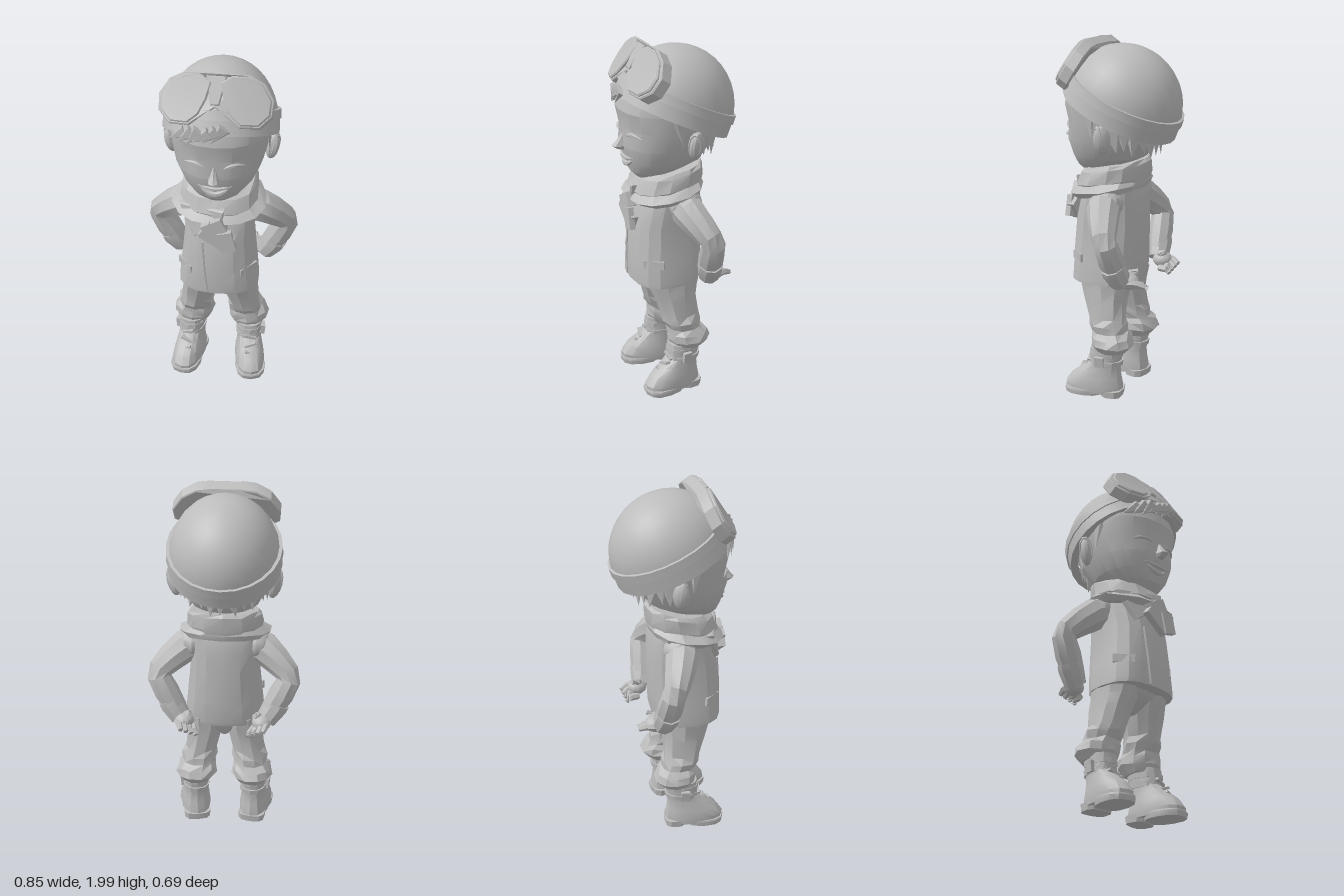
import * as THREE from 'three';
import { toCreasedNormals } from 'three/addons/utils/BufferGeometryUtils.js';

const V = (x, y, z) => new THREE.Vector3(x, y, z);

// Skin a list of equal-length rings and close both ends
function skin(rings) {
  const n = rings[0].length, pos = [], idx = [];
  for (const r of rings) for (const p of r) pos.push(p.x, p.y, p.z);
  for (let i = 0; i < rings.length - 1; i++) {
    for (let j = 0; j < n; j++) {
      const a = i * n + j, b = i * n + (j + 1) % n;
      idx.push(a, b, b + n, a, b + n, a + n);
    }
  }
  [0, rings.length - 1].forEach((k, end) => {
    const c = V(0, 0, 0);
    rings[k].forEach(p => c.addScaledVector(p, 1 / n));
    const ci = pos.length / 3;
    pos.push(c.x, c.y, c.z);
    for (let j = 0; j < n; j++) {
      const a = k * n + j, b = k * n + (j + 1) % n;
      if (end) idx.push(ci, a, b); else idx.push(ci, b, a);
    }
  });
  const g = new THREE.BufferGeometry();
  g.setAttribute('position', new THREE.Float32BufferAttribute(pos, 3));
  g.setIndex(idx);
  return g;
}

// Stack of level superellipses, bottom to top: [y, halfWidth, zBack, zFront, centreX]
function loft(sections, n = 16, power = 2.2, fold = 0) {
  const f = t => Math.sign(t) * Math.abs(t) ** (2 / power);
  return skin(sections.map(([y, rx, zb, zf, cx = 0], i) => Array.from({ length: n }, (_, j) => {
    const a = j / n * Math.PI * 2, w = fold * Math.sin(j * 2.3 + i * 1.9);
    return V(cx + (rx + w) * f(Math.sin(a)), y + w, (zb + zf) / 2 + ((zf - zb) / 2 + w) * f(Math.cos(a)));
  })));
}

// Round tube of changing radius: points [x, y, z, radius]
function sweep(pts, n = 8) {
  const p = pts.map(q => V(q[0], q[1], q[2]));
  return skin(p.map((c, i) => {
    const t = p[Math.min(i + 1, p.length - 1)].clone().sub(p[Math.max(i - 1, 0)]).normalize();
    const ref = Math.abs(t.z) > 0.85 ? V(0, 1, 0) : V(0, 0, 1);
    const u = ref.cross(t).normalize(), v = t.clone().cross(u);
    return Array.from({ length: n }, (_, j) => {
      const a = j / n * Math.PI * 2;
      return c.clone().addScaledVector(u, pts[i][3] * Math.cos(a)).addScaledVector(v, pts[i][3] * Math.sin(a));
    });
  }));
}

const ball = (x, y, z, rx, ry, rz) => new THREE.SphereGeometry(1, 12, 8).scale(rx, ry, rz).translate(x, y, z);
const box = (x, y, z, w, h, d, rz = 0) => new THREE.BoxGeometry(w, h, d).rotateZ(rz).translate(x, y, z);

// Flat plate cut from an outline and pushed out along z
const plate = (points, depth, bevel) => new THREE.ExtrudeGeometry(
  new THREE.Shape(points.map(p => new THREE.Vector2(...p))),
  { depth, bevelThickness: bevel, bevelSize: bevel, bevelSegments: 1 });

// Move each vertex by a rule
function warp(g, rule) {
  const p = g.attributes.position, v = V();
  for (let i = 0; i < p.count; i++) {
    rule(v.fromBufferAttribute(p, i));
    p.setXYZ(i, v.x, v.y, v.z);
  }
  return g;
}

export function createModel() {
  const model = new THREE.Group();
  model.name = 'boyInFlyingCap';
  const grey = new THREE.MeshStandardMaterial({ color: 0xbcbcbc });
  grey.name = 'plain grey';

  function add(name, geo, crease = 0.5) {
    const m = new THREE.Mesh(toCreasedNormals(geo, crease), grey);
    m.name = name;
    model.add(m);
    return m.geometry;
  }
  // Add a part and its mirror image across x = 0
  function pair(name, geo, crease = 0.5) {
    const g = add(name + 'Left', geo, crease).clone();
    const p = g.attributes.position, a = V(), b = V();
    for (let i = 0; i < p.count; i += 3) {
      a.fromBufferAttribute(p, i + 1);
      b.fromBufferAttribute(p, i + 2);
      p.setX(i, -p.getX(i));
      p.setXYZ(i + 1, -b.x, b.y, b.z);
      p.setXYZ(i + 2, -a.x, a.y, a.z);
    }
    add(name + 'Right', g, crease);
  }

  // Head and face
  add('head', loft([
    [1.265, 0.07, 0.08, 0.2], [1.3, 0.13, -0.03, 0.235], [1.36, 0.19, -0.15, 0.258], [1.45, 0.232, -0.22, 0.283],
    [1.55, 0.258, -0.28, 0.275], [1.65, 0.277, -0.29, 0.295], [1.75, 0.27, -0.28, 0.27], [1.84, 0.2, -0.2, 0.2],
  ], 20), 0.4);
  add('nose', skin([[1.43, 0.026, 0.305], [1.45, 0.034, 0.336], [1.48, 0.022, 0.31], [1.52, 0.01, 0.284]].map(
    ([y, w, z]) => [V(0, y, z), V(w * 0.7, y, z - 0.012), V(w, y, 0.25), V(-w, y, 0.25), V(-w * 0.7, y, z - 0.012)])));
  const faceZ = (x, cz, rx, rz) => cz + rz * Math.sqrt(1 - (x / rx) ** 2);
  const strip = (f, x0, x1, r) => sweep(Array.from({ length: 7 }, (_, i) => {
    const t = i / 6, x = x0 + (x1 - x0) * t;
    return [...f(x, t), r * (0.3 + Math.sin(t * Math.PI))];
  }), 6);
  pair('closedEye', strip((x, t) => [x, 1.518 + 0.014 * Math.sin(t * Math.PI), faceZ(x, 0.008, 0.268, 0.272)], 0.05, 0.16, 0.009));
  add('upperLip', strip((x, t) => [x, 1.395 - 0.012 * Math.sin(t * Math.PI), faceZ(x, 0.045, 0.225, 0.222)], -0.09, 0.09, 0.01));
  add('lowerLip', strip((x, t) => [x, 1.39 - 0.045 * Math.sin(t * Math.PI), faceZ(x, 0.045, 0.215, 0.214)], -0.085, 0.085, 0.012));
  pair('ear', ball(0, 0, 0, 0.034, 0.082, 0.046).rotateY(0.5).rotateZ(-0.2).translate(0.272, 1.487, -0.035));
  pair('earRim', new THREE.TorusGeometry(0.04, 0.011, 5, 10).scale(0.75, 1.6, 1).rotateY(0.9).rotateZ(-0.2).translate(0.282, 1.492, -0.022));

  // Hair below the cap: flattened spikes round the nape, at the temples and over the brow
  const spike = (x, y, z, w, h, yaw, lean, flat) => new THREE.ConeGeometry(w, h, 5).rotateX(Math.PI)
    .scale(1, 1, flat).rotateZ(lean).rotateY(yaw).translate(x, y, z);
  for (let i = 0; i < 11; i++) {
    const a = Math.PI + (i - 5) * 0.25;
    add('napeHair', spike(Math.sin(a) * 0.245, 1.44 + 0.012 * Math.abs(i - 5) + (i % 2) * 0.02, -0.02 + Math.cos(a) * 0.205,
      0.075, 0.17, a, 0.15 - (i % 3) * 0.15, 0.35));
  }
  pair('templeHair', spike(0.262, 1.57, 0.045, 0.05, 0.18, Math.PI / 2, 0.15, 0.3));
  for (let i = 0; i < 6; i++) {
    const x = -0.19 + i * 0.042;
    add('fringe', spike(x, 1.682 + i * 0.009, faceZ(x, 0, 0.3, 0.308), 0.042, 0.12, x * 2, -0.95 + (i % 3) * 0.15, 0.4));
  }

  // Tilted flying cap with its rim band and goggle strap
  const tilt = (g, width) => g.scale(width, 1, 1).rotateX(-0.43).translate(0, 1.635, -0.02);
  add('capDome', tilt(new THREE.SphereGeometry(0.332, 24, 10, 0, Math.PI * 2, 0, Math.PI * 0.52), 0.9), 0.7);
  const hoop = (r0, r1, y0, y1) => tilt(new THREE.LatheGeometry(
    [[r0, y0], [r1, y0], [r1 - 0.004, y1], [r0, y1], [r0, y0]].map(p => new THREE.Vector2(...p)), 24), 0.915);
  add('capBand', hoop(0.29, 0.337, -0.05, 0.025));
  add('goggleStrap', hoop(0.3, 0.341, 0.025, 0.075));

  // Shallow goggles pushed up on the forehead, wrapped slightly round the cap
  const place = g => warp(g, v => { v.z -= 0.6 * v.x ** 2; }).rotateX(-0.58).translate(0, 1.873, 0.207);
  const half = [[0.08, 0.13], [0.16, 0.13], [0.235, 0.095], [0.285, 0.02], [0.28, -0.06], [0.225, -0.118], [0.13, -0.123], [0.065, -0.075]];
  const outline = [[0, -0.03], ...half.slice().reverse(), ...half.map(([x, y]) => [-x, y])];
  add('goggleFrame', place(plate(outline, 0.055, 0.006).translate(0, 0, -0.04)));
  pair('goggleLens', place(plate([
    [0.05, 0.005], [0.085, -0.07], [0.135, -0.111], [0.217, -0.107], [0.267, -0.055],
    [0.271, 0.015], [0.226, 0.085], [0.157, 0.118], [0.08, 0.118], [0.03, 0.085],
  ], 0.012, 0.007).translate(0, 0, 0.016)));
  add('goggleBridge', place(plate([[-0.045, 0.115], [-0.018, -0.02], [0.018, -0.02], [0.045, 0.115]], 0.012, 0.006).translate(0, 0, 0.012)));

  // Jacket
  add('jacket', loft([
    [0.66, 0.226, -0.135, 0.246], [0.68, 0.226, -0.14, 0.248], [0.8, 0.213, -0.15, 0.245], [1, 0.193, -0.155, 0.23],
    [1.12, 0.2, -0.15, 0.2], [1.2, 0.195, -0.14, 0.17], [1.27, 0.14, -0.11, 0.13],
  ], 16, 2.6), 0.4);
  add('jacketOpening', sweep([[-0.045, 0.665, 0.243, 0.008], [-0.06, 0.8, 0.241, 0.008], [-0.075, 1, 0.224, 0.008]], 5));
  pair('pocketFlap', box(0, 0, 0, 0.12, 0.045, 0.014, 0.05).rotateY(0.85).translate(0.175, 0.797, 0.17));
  pair('jacketShoulder', ball(0.175, 1.13, -0.01, 0.09, 0.09, 0.1));

  // Scarf: thick collar sinking towards the front, a draped point and a knot with a tail
  const collar = s => warp(loft(s, 14, 2.3, 0.004), v => { v.y -= 0.18 * v.z; });
  add('scarfLower', collar([[1.165, 0.235, -0.15, 0.225], [1.195, 0.258, -0.16, 0.262], [1.235, 0.2, -0.15, 0.215]]), 0.4);
  add('scarfUpper', collar([[1.19, 0.19, -0.155, 0.21], [1.23, 0.213, -0.165, 0.235], [1.3, 0.206, -0.165, 0.2], [1.32, 0.19, -0.15, 0.16]]), 0.4);
  add('scarfPoint', warp(plate([[-0.2, 1.2], [-0.115, 1.04], [0.03, 1.15], [0.04, 1.22]], 0.025, 0.007),
    v => { v.z += 0.222 - 2.2 * v.x ** 2; }));
  add('scarfKnot', box(-0.005, 1.125, 0.248, 0.12, 0.08, 0.05, 0.5), 0.3);
  add('scarfTail', box(0.01, 1.07, 0.252, 0.17, 0.11, 0.04, -0.6), 0.3);
  add('scarfTailEnd', box(0.065, 1.05, 0.268, 0.08, 0.12, 0.03, 0.25), 0.3);

  // Arms akimbo with cuffs, hands resting behind the hips
  pair('sleeve', sweep([
    [0.13, 1.135, 0, 0.085], [0.22, 1.1, -0.015, 0.093], [0.29, 1.045, -0.05, 0.082], [0.352, 0.985, -0.085, 0.068],
    [0.36, 0.945, -0.1, 0.066], [0.318, 0.855, -0.108, 0.072], [0.26, 0.755, -0.12, 0.06],
  ], 9));
  pair('cuff', sweep([[0.305, 0.815, -0.112, 0.068], [0.288, 0.785, -0.116, 0.071], [0.24, 0.712, -0.13, 0.06]], 9));
  pair('palm', ball(0.216, 0.714, -0.168, 0.055, 0.045, 0.058));
  for (let i = 0; i < 4; i++) {
    const x = 0.254 - i * 0.028, y = 0.712 - i * 0.012;
    pair('finger', sweep([[x, y, -0.17, 0.021], [x - 0.015, y + 0.002, -0.222, 0.02], [x - 0.028, y - 0.014, -0.262 + i * 0.006, 0.014]], 6));
  }
  pair('thumb', sweep([[0.222, 0.725, -0.14, 0.024], [0.19, 0.755, -0.17, 0.021], [0.176, 0.768, -0.205, 0.014]], 6));

  // Trousers bunched above the boots
  add('trouserSeat', loft([[0.56, 0.03, -0.05, 0.08], [0.6, 0.09, -0.08, 0.13], [0.64, 0.18, -0.1, 0.17], [0.7, 0.205, -0.12, 0.195]], 14));
  pair('trouserLeg', loft([
    [0.265, 0.085, -0.12, 0.06, 0.16], [0.31, 0.117, -0.16, 0.08, 0.162], [0.35, 0.112, -0.145, 0.08, 0.158],
    [0.38, 0.094, -0.115, 0.08, 0.148], [0.42, 0.102, -0.11, 0.105, 0.145], [0.46, 0.09, -0.1, 0.115, 0.137],
    [0.56, 0.102, -0.1, 0.145, 0.118], [0.62, 0.108, -0.11, 0.17, 0.107], [0.69, 0.108, -0.12, 0.19, 0.107],
  ], 11, 2.2, 0.005), 0.35);

  // Boots turned slightly outwards, with sole, heel, straps and buckle
  const foot = g => g.rotateY(0.17).translate(0.17, 0, 0);
  pair('boot', foot(loft([
    [0.02, 0.083, -0.1, 0.232], [0.06, 0.088, -0.1, 0.235], [0.11, 0.08, -0.09, 0.2], [0.155, 0.072, -0.085, 0.14],
    [0.2, 0.07, -0.09, 0.092], [0.29, 0.076, -0.105, 0.085],
  ], 14, 2.4)));
  pair('sole', foot(loft([[0.004, 0.085, 0.01, 0.235], [0.03, 0.09, 0.005, 0.241], [0.04, 0.088, 0, 0.238]], 12, 2.5)));
  pair('heel', foot(loft([[0, 0.076, -0.1, 0.02], [0.04, 0.08, -0.106, 0.03]], 10, 3)));
  for (const y of [0.2, 0.25]) {
    pair('bootStrap', foot(loft([[y - 0.015, 0.076, -0.099, 0.095], [y + 0.015, 0.078, -0.103, 0.093]], 12, 2.3)));
  }
  pair('buckle', foot(box(0.08, 0.218, 0.015, 0.022, 0.06, 0.05, -0.1)));
  for (let i = 0; i < 3; i++) {
    pair('lace', foot(box(0, 0.135 + i * 0.04, 0.142 - i * 0.028, 0.07, 0.014, 0.03, i % 2 ? 0.35 : -0.35)));
  }
  return model;
}
